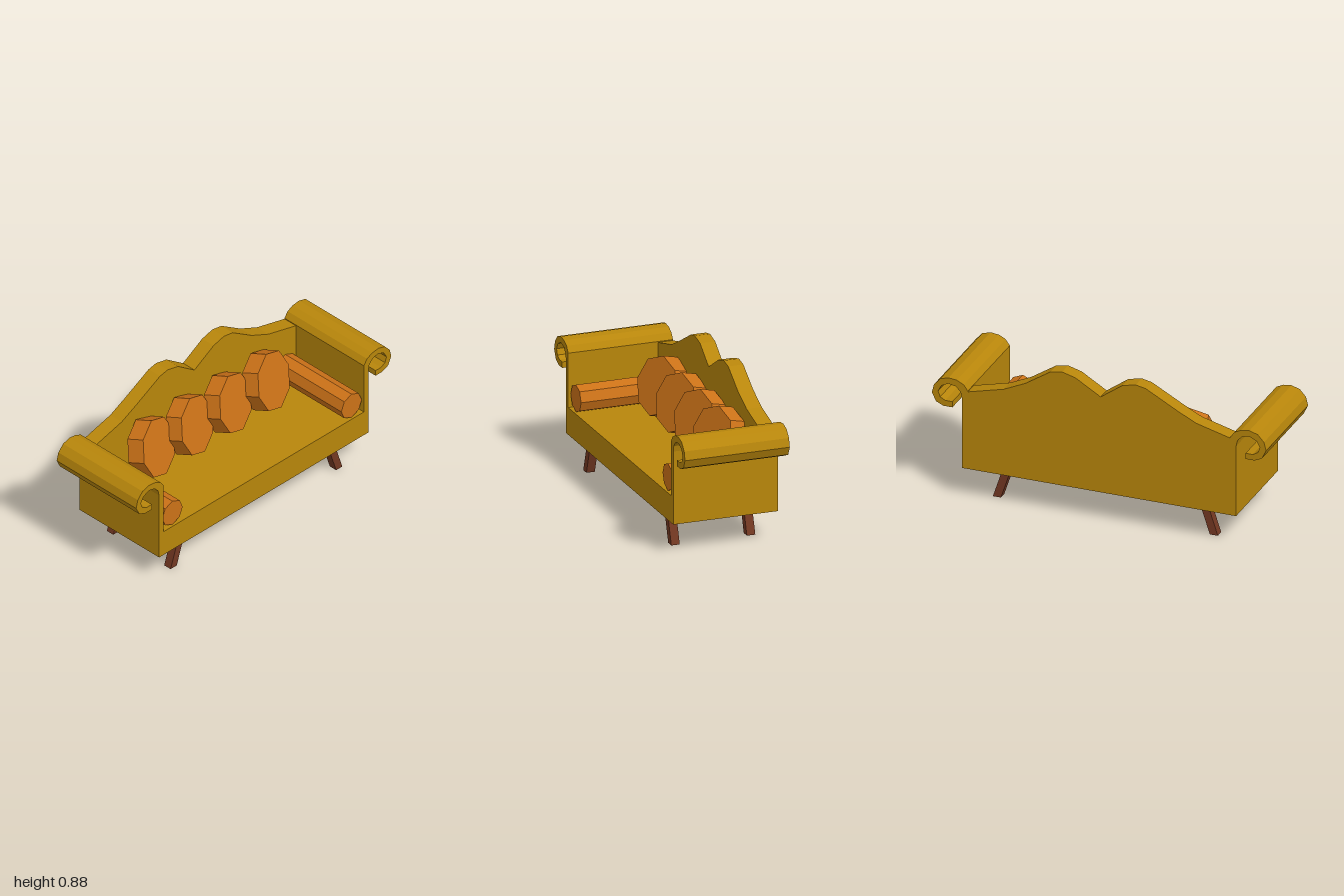
import * as THREE from 'three';

const material = (color) => new THREE.MeshStandardMaterial({ color, flatShading: true });
const gold = material(0xb8860b);
const orange = material(0xcc7218);
const brown = material(0x733822);

// Extrude an outline of [x, y] points from z0 to z1
function slab(name, points, z0, z1, mat) {
  const shape = new THREE.Shape(points.map(([x, y]) => new THREE.Vector2(x, y)));
  const geometry = new THREE.ExtrudeGeometry(shape, { depth: z1 - z0, bevelEnabled: false });
  geometry.translate(0, 0, z0);
  const mesh = new THREE.Mesh(geometry, mat);
  mesh.name = name;
  return mesh;
}

// Eight-sided cushion with its axis along z
function cushion(name, radius, depth, x, y, z) {
  const geometry = new THREE.CylinderGeometry(radius, radius, depth, 8).rotateX(Math.PI / 2);
  const mesh = new THREE.Mesh(geometry, orange);
  mesh.name = name;
  mesh.position.set(x, y, z);
  return mesh;
}

export function createModel() {
  const model = new THREE.Group();
  model.name = 'sofa';

  // Seat base and scrolled arms share one cross-section
  const halfBody = [
    [0.82, 0.18], [0.82, 0.61], [0.828, 0.645], [0.855, 0.675], [0.9, 0.685], [0.943, 0.665],
    [0.963, 0.628], [0.95, 0.595], [0.92, 0.578], [0.877, 0.578],
    [0.877, 0.543], [0.93, 0.543], [0.975, 0.563], [1.0, 0.615], [0.987, 0.665],
    [0.95, 0.706], [0.9, 0.721], [0.85, 0.715], [0.81, 0.695], [0.785, 0.66], [0.785, 0.34],
  ];
  const mirrored = halfBody.map(([x, y]) => [-x, y]).reverse();
  model.add(slab('seatAndArms', [...halfBody, ...mirrored], -0.312, 0.312, gold));

  // Double-humped backrest
  model.add(slab('backrest', [
    [-0.785, 0.34], [0.785, 0.34], [0.785, 0.655], [0.57, 0.71], [0.44, 0.77], [0.29, 0.868],
    [0.22, 0.88], [0.14, 0.858], [-0.01, 0.768], [-0.14, 0.862], [-0.22, 0.88], [-0.28, 0.868],
    [-0.47, 0.765], [-0.58, 0.71], [-0.785, 0.655],
  ], -0.312, -0.222, gold));

  // Row of back cushions, turned and leaning back
  for (let i = 0; i < 4; i++) {
    const pillow = cushion('backCushion', 0.173, 0.103, -0.447 + i * 0.295, 0.52, -0.124 + i * 0.005);
    pillow.rotation.set(-0.28, 0.29, 0, 'YXZ');
    model.add(pillow);
  }

  // Bolster beside each arm
  for (const side of [-1, 1]) {
    model.add(cushion('bolster', 0.08, 0.525, side * 0.702, 0.42, 0.036));
  }

  // Splayed legs
  const w = 0.024;
  for (const [top, foot] of [[-0.596, -0.657], [0.58, 0.641]]) {
    for (const z of [0.238, -0.212]) {
      model.add(slab('leg', [
        [foot - w, 0], [foot + w, 0], [top + w, 0.185], [top - w, 0.185],
      ], z - 0.025, z + 0.025, brown));
    }
  }

  return model;
}
